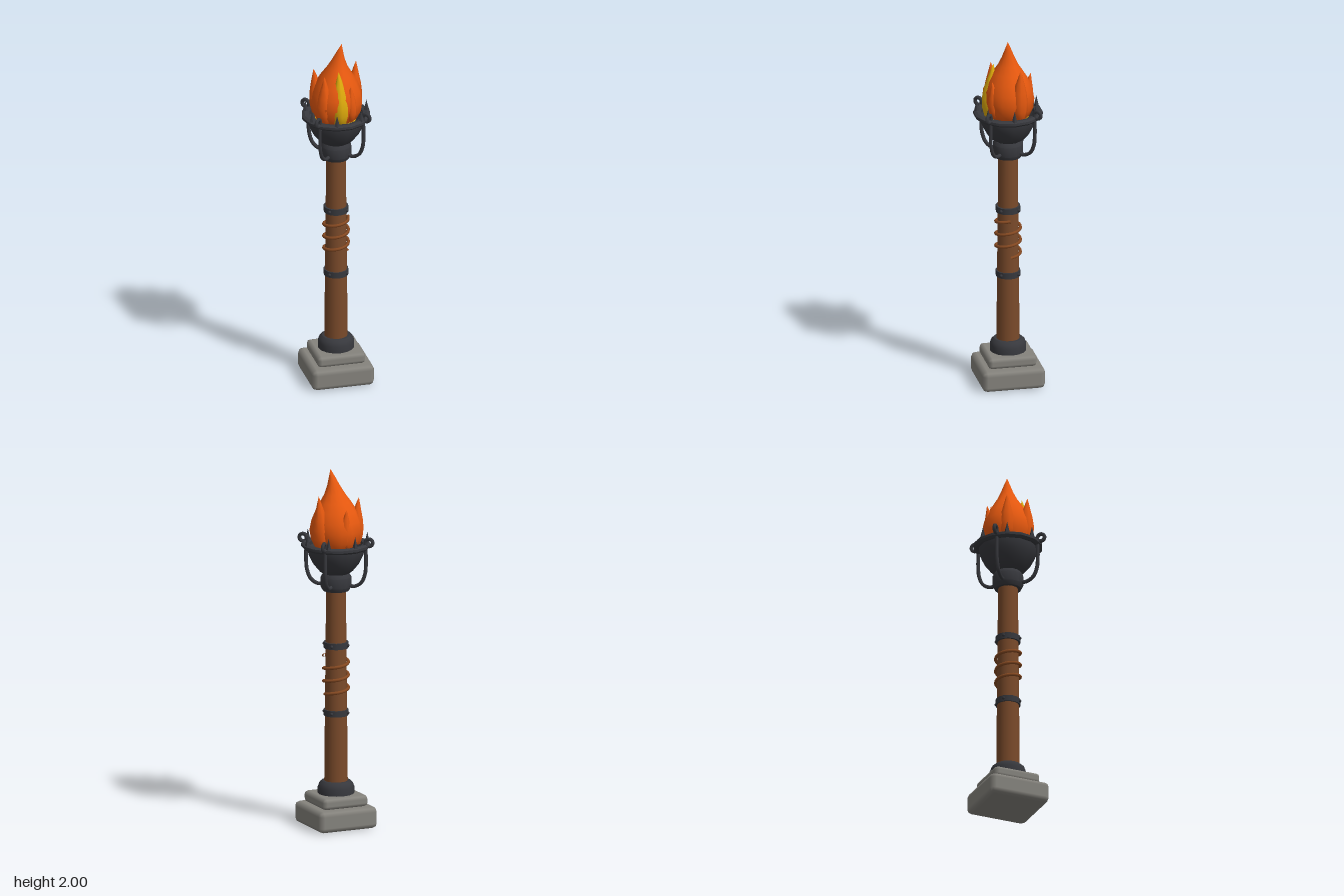
import * as THREE from 'three';
import { mergeVertices, toCreasedNormals } from 'three/addons/utils/BufferGeometryUtils.js';
import { RoundedBoxGeometry } from 'three/addons/geometries/RoundedBoxGeometry.js';

const paint = (color) => new THREE.MeshStandardMaterial({ color });

export function createModel() {
  const model = new THREE.Group();
  const stone = paint(0x85837d), iron = paint(0x37383d), wood = paint(0x7a4a2a);
  const rope = paint(0x874a22), orange = paint(0xe8590f), yellow = paint(0xe0ac0c);

  const add = (name, geometry, material, x = 0, y = 0, z = 0) => {
    const mesh = new THREE.Mesh(geometry, material);
    mesh.name = name;
    mesh.position.set(x, y, z);
    model.add(mesh);
    return mesh;
  };
  // Turned part from [radius, height] pairs, with a corner on +x
  const turned = (pairs, sides) => {
    const g = new THREE.LatheGeometry(pairs.map(([r, y]) => new THREE.Vector2(r, y)), sides);
    return g.rotateY(Math.PI / 2);
  };
  const creased = (pairs, sides) => toCreasedNormals(turned(pairs, sides), 0.6);

  // Stepped stone foot
  add('baseBlock', new RoundedBoxGeometry(0.35, 0.12, 0.35, 1, 0.028), stone, 0, 0.06, 0);
  add('baseStep', new RoundedBoxGeometry(0.27, 0.064, 0.27, 1, 0.022), stone, 0, 0.15, 0);

  // Wooden pole with its iron collars
  add('pole', new THREE.CylinderGeometry(0.054, 0.065, 1.16, 16), wood, 0, 0.76, 0);
  add('footCollar', creased([[0, 0.175], [0.1, 0.175], [0.1, 0.218], [0.092, 0.24], [0.077, 0.253], [0, 0.253]], 16), iron);
  add('neckCollar', creased([[0, 1.318], [0.072, 1.318], [0.084, 1.34], [0.084, 1.395], [0.072, 1.415], [0, 1.415]], 16), iron);

  // Riveted bands
  for (const y of [0.635, 1.013]) {
    add('band', new THREE.CylinderGeometry(0.068, 0.068, 0.034, 16), iron, 0, y, 0);
    for (let i = 0; i < 4; i++) {
      const a = Math.PI / 4 + i * Math.PI / 2;
      add('rivet', new THREE.SphereGeometry(0.009, 8, 6), iron, 0.069 * Math.cos(a), y, 0.069 * Math.sin(a));
    }
  }

  // Binding wound three times around the pole
  const coil = [];
  for (let i = 0; i <= 36; i++) {
    const a = (i / 36) * Math.PI * 6;
    coil.push(new THREE.Vector3(0.068 * Math.cos(a), 0.742 + 0.215 * i / 36, -0.068 * Math.sin(a)));
  }
  add('binding', new THREE.TubeGeometry(new THREE.CatmullRomCurve3(coil), 72, 0.009, 6), rope);

  // Fire bowl, outside and inside, with a flat-sided rim
  add('bowl', turned([[0, 1.405], [0.06, 1.408], [0.095, 1.43], [0.124, 1.465], [0.147, 1.51], [0.164, 1.565],
    [0.15, 1.565], [0.13, 1.51], [0.09, 1.46], [0, 1.44]], 14), iron);
  add('rim', creased([[0.148, 1.56], [0.178, 1.555], [0.19, 1.566], [0.19, 1.58], [0.175, 1.588], [0.148, 1.582], [0.148, 1.56]], 14), iron);

  // Seven rim spikes
  for (let i = 0; i < 7; i++) {
    const a = i * Math.PI * 2 / 7;
    const spike = new THREE.ConeGeometry(0.017, 0.066, 5).toNonIndexed();
    spike.computeVertexNormals();
    add('rimSpike', spike, iron, 0.171 * Math.cos(a), 1.612, -0.171 * Math.sin(a));
  }

  // Four curved brackets ending in a curl outside the rim
  const path = [[0.07, 1.352], [0.105, 1.348], [0.145, 1.37], [0.168, 1.42], [0.174, 1.49], [0.172, 1.56]]
    .map(([r, y]) => new THREE.Vector3(r, y, 0));
  for (let i = 0; i <= 8; i++) {
    const a = Math.PI - i * Math.PI * 0.2;
    path.push(new THREE.Vector3(0.192 + 0.021 * Math.cos(a), 1.599 + 0.021 * Math.sin(a), 0));
  }
  const bracket = new THREE.TubeGeometry(new THREE.CatmullRomCurve3(path), 48, 0.0105, 6);
  const cap = new THREE.SphereGeometry(0.0115, 6, 5);
  for (let i = 0; i < 4; i++) {
    const turn = Math.PI / 4 + i * Math.PI / 2;
    add('bracket', bracket, iron).rotation.y = turn;
    const end = path[path.length - 1];
    add('bracketEnd', cap, iron, end.x * Math.cos(turn), end.y, -end.x * Math.sin(turn));
  }

  // Flame: rings that shrink to a tip while the centre bends from foot to tip
  const flame = (name, material, foot, tip, radius, profile, sides, wobble, bend) => {
    const g = turned(profile.map(([r, t]) => [r * radius, t]), sides);
    g.deleteAttribute('uv');
    g.deleteAttribute('normal');
    const p = g.attributes.position;
    for (let i = 0; i < p.count; i++) {
      const t = p.getY(i), a = Math.atan2(p.getZ(i), p.getX(i));
      const k = 1 + wobble * Math.sin(3 * a + 5 * t);
      const c = Math.pow(t, bend);
      p.setXYZ(i,
        p.getX(i) * k + THREE.MathUtils.lerp(foot[0], tip[0], c),
        THREE.MathUtils.lerp(foot[1], tip[1], t),
        p.getZ(i) * k + THREE.MathUtils.lerp(foot[2], tip[2], c));
    }
    const smooth = mergeVertices(g, 1e-4);
    smooth.computeVertexNormals();
    add(name, smooth, material);
  };
  const bodyProfile = [[0, 0], [0.74, 0], [0.93, 0.12], [1, 0.24], [0.95, 0.36], [0.8, 0.48], [0.6, 0.59],
    [0.4, 0.69], [0.25, 0.79], [0.12, 0.9], [0, 1]];
  const tongueProfile = [[0, 0], [0.65, 0], [0.95, 0.18], [1, 0.36], [0.82, 0.55], [0.5, 0.74], [0.22, 0.89], [0, 1]];
  flame('flameBody', orange, [0, 1.55, -0.004], [0.03, 2, 0.008], 0.142, bodyProfile, 14, 0.05, 3);

  // Side tongues: foot, tip, radius
  const tongues = [
    [[-0.095, 1.58, -0.05], [-0.112, 1.84, -0.055], 0.042],
    [[-0.082, 1.57, 0.07], [-0.085, 1.845, 0.078], 0.045],
    [[0.108, 1.57, -0.04], [0.125, 1.865, -0.045], 0.046],
    [[0.06, 1.58, 0.092], [0.058, 1.785, 0.1], 0.032],
    [[-0.005, 1.58, -0.105], [-0.005, 1.795, -0.128], 0.036],
  ];
  for (const [foot, tip, r] of tongues) flame('flameTongue', orange, foot, tip, r, tongueProfile, 8, 0.04, 2);
  flame('yellowTongue', yellow, [-0.002, 1.56, 0.098], [-0.006, 1.867, 0.08], 0.05, tongueProfile, 8, 0.03, 2);

  // Glowing bed under the flame
  add('emberBed', new THREE.CylinderGeometry(0.115, 0.085, 0.06, 14), yellow, 0, 1.53, 0);
  return model;
}
